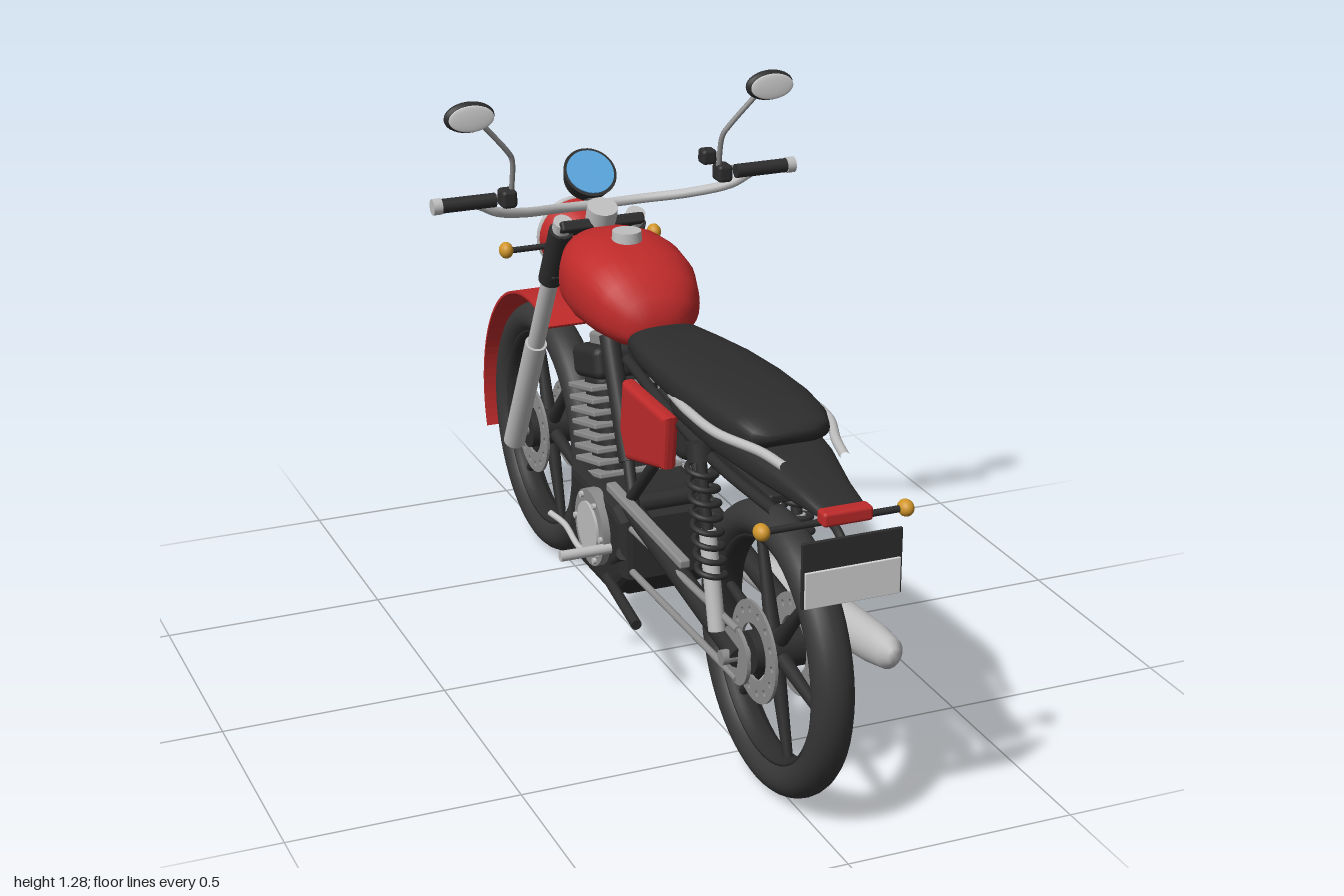
import * as THREE from 'three';
import { RoundedBoxGeometry } from 'three/addons/geometries/RoundedBoxGeometry.js';

const paint = (name, color, side = THREE.FrontSide) => {
  const m = new THREE.MeshStandardMaterial({ color, side });
  m.name = name;
  return m;
};
const V = (x, y, z) => new THREE.Vector3(x, y, z);

export function createModel() {
  const red = paint('red paint', 0xbf2a2a), black = paint('black', 0x2d2d2d), rubber = paint('rubber', 0x373737);
  const silver = paint('silver', 0xbfbfbf), grey = paint('grey metal', 0x8c8c8c), glass = paint('white lens', 0xd8d8d8);
  const amber = paint('amber', 0xd0952a), blue = paint('blue dial', 0x5aa6de), heated = paint('heated pipe', 0x9a8a7e);
  const model = new THREE.Group();
  model.name = 'motorcycle';

  const add = (name, geo, mat, pos = [0, 0, 0], rot = [0, 0, 0], parent = model) => {
    const mesh = new THREE.Mesh(geo, mat);
    mesh.name = name;
    mesh.position.set(...pos);
    mesh.rotation.set(...rot);
    parent.add(mesh);
    return mesh;
  };
  const box = (name, w, h, d, mat, pos, rot, parent) =>
    add(name, new RoundedBoxGeometry(w, h, d, 2, Math.min(w, h, d) * 0.25), mat, pos, rot, parent);
  const ball = (name, rx, ry, rz, mat, pos, rot) =>
    add(name, new THREE.SphereGeometry(1, 28, 18).scale(rx, ry, rz), mat, pos, rot);
  const disc = (name, r, w, mat, pos, parent) =>
    add(name, new THREE.CylinderGeometry(r, r, w, 32), mat, pos, [0, 0, Math.PI / 2], parent);
  // straight rod between two points
  const rod = (name, a, b, r, mat, r2 = r) => {
    const p = V(...a), q = V(...b), d = q.clone().sub(p);
    const mesh = add(name, new THREE.CylinderGeometry(r2, r, d.length(), 18), mat);
    mesh.position.copy(p).add(q).multiplyScalar(0.5);
    mesh.quaternion.setFromUnitVectors(V(0, 1, 0), d.normalize());
    return mesh;
  };
  const tube = (name, pts, r, mat, n = 40) =>
    add(name, new THREE.TubeGeometry(new THREE.CatmullRomCurve3(pts.map(p => V(...p)), false, 'centripetal'), n, r, 10), mat);
  // side profile given as [z, y], extruded along x
  const profile = (name, pts, x0, x1, mat, bevel = 0.01) => {
    const shape = new THREE.Shape(pts.map(([z, y]) => new THREE.Vector2(-z, y)));
    const geo = new THREE.ExtrudeGeometry(shape, {
      depth: x1 - x0 - 2 * bevel, bevelEnabled: bevel > 0, bevelSize: bevel, bevelOffset: -bevel, bevelThickness: bevel, bevelSegments: 3 });
    return add(name, geo.translate(0, 0, x0 + bevel).rotateY(Math.PI / 2), mat);
  };
  // smooth body from superellipse sections [z, x, y, halfWidth, halfHeight]
  const loft = (name, secs, mat, power = 2, n = 32) => {
    const pos = [], idx = [], last = secs.length - 1;
    const bend = c => Math.sign(c) * Math.abs(c) ** (2 / power);
    for (const [z, x, y, w, h] of secs)
      for (let j = 0; j < n; j++) {
        const a = j / n * 2 * Math.PI;
        pos.push(x + w * bend(Math.cos(a)), y + h * bend(Math.sin(a)), z);
      }
    for (let i = 0; i < last; i++)
      for (let j = 0; j < n; j++) {
        const k = (j + 1) % n, a = i * n, b = a + n;
        idx.push(a + j, a + k, b + k, a + j, b + k, b + j);
      }
    for (const i of [0, last]) {
      const c = pos.length / 3;
      pos.push(secs[i][1], secs[i][2], secs[i][0]);
      for (let j = 0; j < n; j++) {
        const p = i * n + j, q = i * n + (j + 1) % n;
        idx.push(c, ...(i ? [p, q] : [q, p]));
      }
    }
    const geo = new THREE.BufferGeometry();
    geo.setAttribute('position', new THREE.Float32BufferAttribute(pos, 3));
    geo.setIndex(idx);
    geo.computeVertexNormals();
    return add(name, geo, mat);
  };

  // wheels: tyre, rim, tapered spokes, drilled discs
  const rotor = new THREE.Shape().absarc(0, 0, 0.108, 0, Math.PI * 2);
  for (let i = 0; i < 14; i++) {
    const a = i / 14 * Math.PI * 2;
    rotor.holes.push(new THREE.Path().absarc(0.088 * Math.cos(a), 0.088 * Math.sin(a), 0.007, 0, Math.PI * 2));
  }
  rotor.holes.push(new THREE.Path().absarc(0, 0, 0.06, 0, Math.PI * 2));
  for (const [name, z] of [['frontWheel', -0.66], ['rearWheel', 0.645]]) {
    const w = new THREE.Group();
    w.name = name;
    w.position.set(0, 0.312, z);
    model.add(w);
    add('tyre', new THREE.TorusGeometry(0.269, 0.039, 20, 64).rotateY(Math.PI / 2).scale(1.13, 1, 1), rubber, [0, 0, 0], [0, 0, 0], w);
    add('rim', new THREE.TorusGeometry(0.236, 0.011, 10, 64).rotateY(Math.PI / 2).scale(2.6, 1, 1), black, [0, 0, 0], [0, 0, 0], w);
    disc('hub', 0.045, 0.12, black, [0, 0, 0], w);
    for (let i = 0; i < 6; i++) {
      const a = 0.2 + i * Math.PI / 3;
      add('spoke', new THREE.CylinderGeometry(0.01, 0.017, 0.2, 10).translate(0, 0.135, 0), black, [0, 0, 0], [a + Math.PI / 2, 0, 0], w);
    }
    for (const s of [1, -1])
      add('brakeDisc', new THREE.ExtrudeGeometry(rotor, { depth: 0.006, bevelEnabled: false, curveSegments: 24 }).rotateY(Math.PI / 2), grey, [s * 0.045 - 0.003, 0, 0], [0, 0, 0], w);
  }

  // front mudguard: thin band over the wheel
  const guard = [];
  for (const r of [0.338, 0.332])
    for (let i = 0; i <= 36; i++) {
      const t = (r > 0.335 ? i : 36 - i) / 36, a = THREE.MathUtils.degToRad(-24 + 133 * t);
      guard.push([-0.66 - r * Math.sin(a), 0.312 + r * Math.cos(a)]);
    }
  profile('frontMudguard', guard, -0.055, 0.055, red, 0);

  // fork
  const forkZ = y => -0.66 + (y - 0.312) * 0.54;
  for (const s of [1, -1]) {
    const at = y => [s * 0.088, y, forkZ(y)];
    rod('forkLower', at(0.28), at(0.59), 0.026, silver);
    rod('forkTube', at(0.55), at(0.93), 0.02, silver);
    rod('forkCover', at(0.78), at(0.92), 0.028, black);
    rod('forkCap', at(0.925), at(0.945), 0.022, silver);
    // indicators
    rod('frontStalk', [s * 0.07, 0.85, -0.44], [s * 0.17, 0.85, -0.44], 0.007, black);
    ball('frontIndicator', 0.016, 0.019, 0.02, amber, [s * 0.182, 0.852, -0.44]);
    rod('rearStalk', [0, 0.7, 0.9], [s * 0.14, 0.7, 0.9], 0.007, black);
    ball('rearIndicator', 0.016, 0.017, 0.02, amber, [s * 0.152, 0.7, 0.9]);
  }
  rod('frontAxle', [-0.105, 0.312, -0.66], [0.105, 0.312, -0.66], 0.014, grey);
  rod('rearAxle', [-0.12, 0.312, 0.645], [0.12, 0.312, 0.645], 0.016, grey);
  box('lowerClamp', 0.2, 0.03, 0.07, black, [0, 0.79, -0.4], [-0.5, 0, 0]);
  box('upperClamp', 0.2, 0.025, 0.07, black, [0, 0.925, -0.325], [-0.5, 0, 0]);
  rod('steeringHead', [0, 0.76, -0.38], [0, 0.975, -0.3], 0.035, silver);

  // headlight and dial
  const pts = a => a.map(p => new THREE.Vector2(...p));
  const lamp = [-Math.PI / 2 + 0.1, 0, 0], lampAt = [0, 0.86, -0.48];
  add('headlightShell', new THREE.LatheGeometry(pts([[0, -0.1], [0.045, -0.095], [0.07, -0.065], [0.084, -0.025], [0.09, 0]]), 36), red, lampAt, lamp);
  add('headlightRing', new THREE.TorusGeometry(0.086, 0.007, 10, 40), silver, lampAt, [0.1, 0, 0]);
  add('headlightLens', new THREE.LatheGeometry(pts([[0.086, 0], [0.06, 0.01], [0.03, 0.014], [0, 0.015]]), 36), glass, lampAt, lamp);
  add('dialBody', new THREE.CylinderGeometry(0.062, 0.052, 0.04, 36), black, [0, 1.02, -0.39], [Math.PI / 4, 0, 0]);
  add('dialFace', new THREE.CylinderGeometry(0.055, 0.055, 0.004, 36), blue, [0, 1.035, -0.375], [Math.PI / 4, 0, 0]);
  rod('dialStem', [0, 0.94, -0.335], [0, 1.01, -0.39], 0.02, black);

  // handlebar, grips, levers and mirrors
  const bar = [[0.1, 0.978, -0.315], [0.2, 0.995, -0.265], [0.28, 1.02, -0.22], [0.33, 1.045, -0.212], [0.41, 1.05, -0.21]];
  tube('handlebar', [...bar.map(([x, y, z]) => [-x, y, z]).reverse(), [0, 0.972, -0.33], ...bar], 0.011, silver, 70);
  for (const s of [1, -1]) {
    rod('grip', [s * 0.285, 1.05, -0.21], [s * 0.41, 1.05, -0.21], 0.016, black);
    rod('barEnd', [s * 0.408, 1.05, -0.21], [s * 0.428, 1.05, -0.21], 0.018, silver);
    box('switchBox', 0.035, 0.04, 0.045, black, [s * 0.255, 1.05, -0.215]);
    tube('lever', [[s * 0.25, 1.045, -0.24], [s * 0.3, 1.04, -0.27], [s * 0.4, 1.04, -0.255]], 0.006, grey, 20);
    tube('mirrorStem', [[s * 0.245, 1.06, -0.215], [s * 0.248, 1.14, -0.2], [s * 0.26, 1.16, -0.195], [s * 0.325, 1.235, -0.18]], 0.006, grey);
    ball('mirrorShell', 0.057, 0.034, 0.018, black, [s * 0.35, 1.25, -0.178]);
    ball('mirrorGlass', 0.051, 0.029, 0.004, glass, [s * 0.35, 1.25, -0.162]);
  }
  box('brakeReservoir', 0.035, 0.035, 0.035, black, [0.22, 1.09, -0.22]);

  // tank
  loft('tank', [[-0.325, 0, 0.85, 0.04, 0.035], [-0.315, 0, 0.85, 0.075, 0.065], [-0.285, 0, 0.847, 0.108, 0.088], [-0.23, 0, 0.845, 0.133, 0.099],
    [-0.16, 0, 0.843, 0.14, 0.102], [-0.08, 0, 0.838, 0.134, 0.096], [-0.01, 0, 0.825, 0.113, 0.08], [0.03, 0, 0.81, 0.08, 0.057], [0.045, 0, 0.8, 0.04, 0.03]], red, 2.5);
  add('fuelCap', new THREE.CylinderGeometry(0.032, 0.034, 0.025, 28), silver, [0, 0.95, -0.155]);

  // seat, tail and grab rails
  loft('seat', [[0.035, 0, 0.776, 0.05, 0.018], [0.06, 0, 0.78, 0.085, 0.032], [0.15, 0, 0.783, 0.1, 0.037], [0.28, 0, 0.79, 0.113, 0.042], [0.42, 0, 0.795, 0.118, 0.046],
    [0.55, 0, 0.8, 0.114, 0.046], [0.65, 0, 0.803, 0.102, 0.04], [0.7, 0, 0.803, 0.085, 0.026], [0.715, 0, 0.803, 0.05, 0.01]], black, 2.8);
  loft('tail', [[0.3, 0, 0.745, 0.09, 0.02], [0.36, 0, 0.748, 0.108, 0.034], [0.55, 0, 0.748, 0.108, 0.038], [0.72, 0, 0.745, 0.085, 0.036],
    [0.85, 0, 0.735, 0.06, 0.024], [0.93, 0, 0.732, 0.05, 0.014]], black, 3);
  box('tailLight', 0.105, 0.03, 0.035, red, [0, 0.73, 0.945]);
  box('plateHolder', 0.21, 0.135, 0.008, black, [0, 0.633, 0.978]);
  box('plate', 0.2, 0.075, 0.006, glass, [0, 0.604, 0.984]);
  tube('plateBracket', [[0, 0.69, 0.84], [0, 0.685, 0.91], [0, 0.65, 0.96], [0, 0.61, 0.978]], 0.009, black);

  // crankcase, covers and cylinder
  profile('crankcase', [[0.11, 0.39], [0.05, 0.41], [-0.22, 0.41], [-0.225, 0.25], [-0.19, 0.18], [0.03, 0.18], [0.115, 0.25]], -0.12, 0.12, black, 0.025);
  profile('sump', [[0.03, 0.19], [-0.2, 0.2], [-0.24, 0.17], [-0.2, 0.155], [0, 0.16]], -0.07, 0.07, black);
  for (const s of [1, -1]) {
    disc('engineCover', 0.088, 0.03, grey, [s * 0.122, 0.318, -0.045]);
    disc('coverCentre', 0.06, 0.01, silver, [s * 0.138, 0.318, -0.045]);
    for (let i = 0; i < 6; i++)
      disc('coverBolt', 0.007, 0.01, silver, [s * 0.139, 0.318 + 0.076 * Math.sin(i * Math.PI / 3), -0.045 + 0.076 * Math.cos(i * Math.PI / 3)]);
  }
  const cylinder = new THREE.Group();
  cylinder.name = 'cylinder';
  cylinder.position.set(0, 0.39, -0.14);
  cylinder.rotation.x = -0.26;
  model.add(cylinder);
  box('barrel', 0.15, 0.27, 0.11, black, [0, 0.11, 0], [0, 0, 0], cylinder);
  for (let i = 0; i < 8; i++) box('fin', 0.2, 0.012, 0.15, grey, [0, 0.015 + i * 0.028, 0], [0, 0, 0], cylinder);
  box('cylinderHead', 0.17, 0.075, 0.155, black, [0, 0.265, 0], [0, 0, 0], cylinder);
  box('rockerCover', 0.1, 0.035, 0.09, grey, [0, 0.312, 0], [0, 0, 0], cylinder);

  // exhaust on the +x side
  tube('headerPipe', [[0, 0.6, -0.26], [0, 0.59, -0.31], [0, 0.45, -0.332], [0, 0.32, -0.315], [0, 0.21, -0.265], [0.01, 0.168, -0.21]], 0.017, heated);
  tube('exhaustPipe', [[0.01, 0.168, -0.21], [0.06, 0.17, -0.12], [0.125, 0.19, -0.02], [0.155, 0.225, 0.05], [0.163, 0.25, 0.12]], 0.018, silver);
  loft('muffler', [[0.09, 0.16, 0.248, 0.018, 0.018], [0.13, 0.162, 0.256, 0.031, 0.031], [0.25, 0.166, 0.277, 0.042, 0.044], [0.42, 0.17, 0.3, 0.046, 0.05],
    [0.6, 0.173, 0.32, 0.043, 0.048], [0.75, 0.175, 0.336, 0.037, 0.043], [0.81, 0.176, 0.342, 0.029, 0.035], [0.83, 0.176, 0.344, 0.014, 0.018]], silver);
  for (const [z, y, x] of [[0.38, 0.297, 0.213], [0.2, 0.271, 0.2]])
    ball('heatShieldSlot', 0.006, 0.013, 0.075, black, [x, y, z], [0.13, 0, 0]);

  // frame, side panels, shocks and footrests on both sides
  rod('frameSpine', [0, 0.8, -0.36], [0, 0.75, 0.1], 0.03, black);
  rod('downTube', [0, 0.76, -0.36], [0, 0.68, -0.26], 0.022, black);
  rod('swingarmPivot', [-0.1, 0.41, 0.07], [0.1, 0.41, 0.07], 0.022, black);
  box('battery', 0.15, 0.12, 0.18, black, [0, 0.66, 0.24]);
  box('innerGuard', 0.13, 0.02, 0.4, black, [0, 0.69, 0.55]);
  for (const s of [1, -1]) {
    const x = s * 0.1;
    tube('grabRail', [[s * 0.1, 0.77, 0.34], [s * 0.122, 0.785, 0.48], [s * 0.12, 0.79, 0.62], [s * 0.08, 0.79, 0.74], [s * 0.065, 0.785, 0.81]], 0.01, silver);
    rod('seatTube', [s * 0.065, 0.745, -0.1], [s * 0.075, 0.5, 0.04], 0.022, black);
    rod('rearStay', [s * 0.085, 0.6, 0.25], [s * 0.085, 0.41, 0.06], 0.013, black);
    rod('crossStay', [s * 0.075, 0.52, 0.03], [s * 0.085, 0.4, 0.1], 0.013, black);
    tube('subframe', [[s * 0.07, 0.73, 0.02], [s * 0.085, 0.71, 0.3], [s * 0.085, 0.69, 0.55], [s * 0.07, 0.682, 0.78]], 0.012, black);
    rod('swingarm', [s * 0.08, 0.4, 0.07], [s * 0.085, 0.312, 0.66], 0.023, black);
    profile('sidePanel', [[0.36, 0.725], [0.12, 0.725], [0.105, 0.61], [0.14, 0.55], [0.345, 0.605]], s > 0 ? 0.09 : -0.125, s > 0 ? 0.125 : -0.09, red, 0.012);
    // shock: body, rod and helical spring
    const low = V(x, 0.34, 0.58), high = V(x, 0.71, 0.485), coil = [];
    const along = t => low.clone().lerp(high, t).toArray();
    for (let i = 0; i <= 96; i++) {
      const [cx, cy, cz] = along(0.3 + 0.62 * i / 96), a = i / 96 * 16 * Math.PI;
      coil.push([cx + 0.029 * Math.cos(a), cy, cz + 0.029 * Math.sin(a)]);
    }
    tube('spring', coil, 0.0065, black, 220);
    rod('shockBody', along(0), along(0.55), 0.018, silver);
    rod('shockRod', along(0.5), along(1), 0.012, black);
    rod('shockTop', along(0.92), along(1.02), 0.028, black);
    rod('footPeg', [s * 0.1, 0.3, 0.04], [s * 0.238, 0.3, 0.04], 0.012, silver);
    tube('footLever', [[s * 0.13, 0.27, 0.01], [s * 0.165, 0.28, -0.02], [s * 0.175, 0.31, -0.1], [s * 0.195, 0.325, -0.14]], 0.007, silver);
    rod('footrestBracket', [s * 0.1, 0.22, -0.02], [s * 0.115, 0.31, 0.1], 0.014, black);
  }

  // chain side and stand on the -x side
  rod('chainUpper', [-0.098, 0.37, 0], [-0.085, 0.37, 0.65], 0.008, grey);
  rod('chainLower', [-0.098, 0.27, 0], [-0.085, 0.26, 0.65], 0.008, grey);
  box('chainGuard', 0.025, 0.02, 0.42, grey, [-0.098, 0.42, 0.2], [0.03, 0, 0]);
  disc('sprocket', 0.062, 0.008, grey, [-0.085, 0.312, 0.645]);
  rod('sideStand', [-0.12, 0.22, 0.02], [-0.135, 0.2, 0.23], 0.012, black);
  return model;
}
